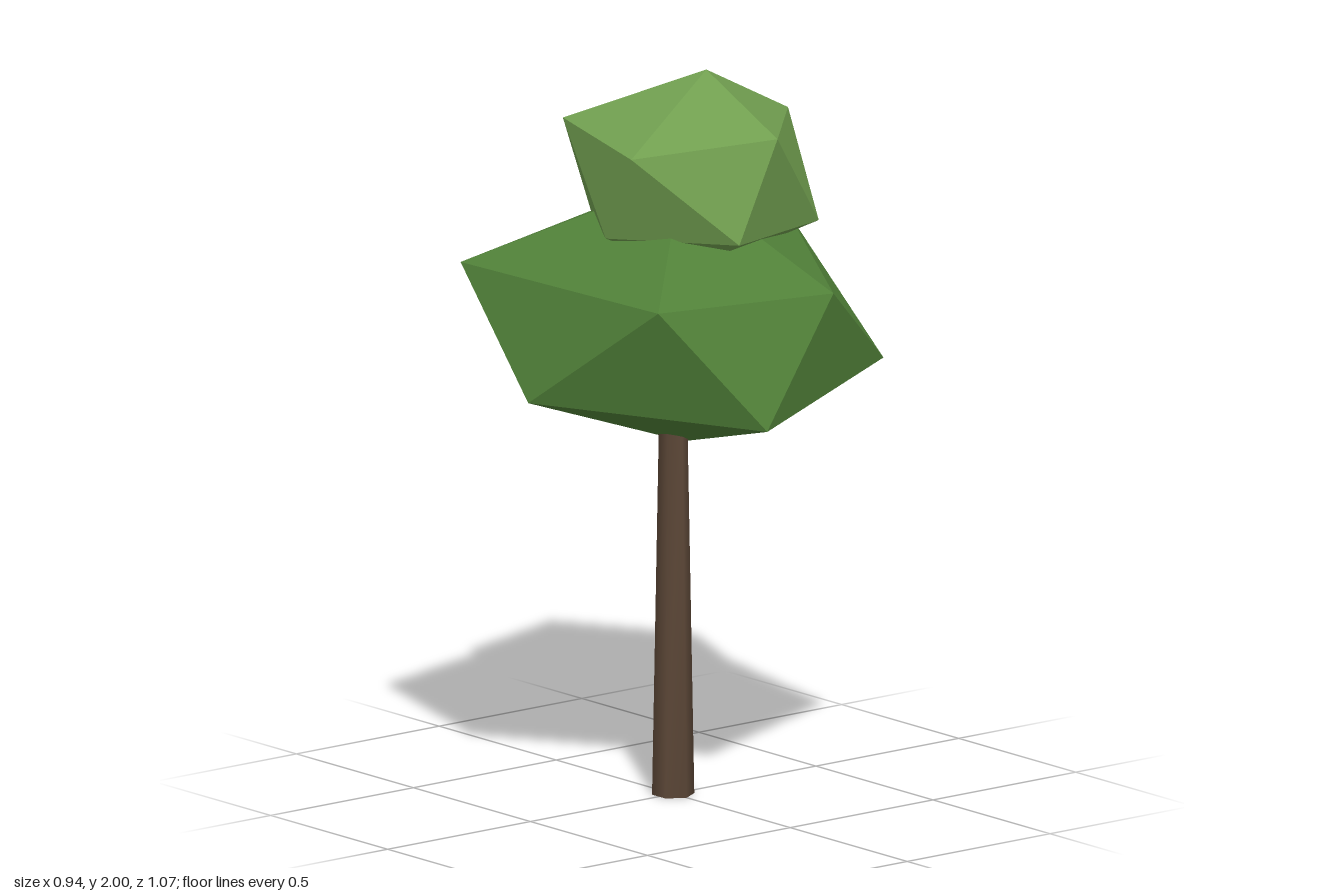
import * as THREE from 'three';
import { mergeVertices } from 'three/addons/utils/BufferGeometryUtils.js';

// Faceted foliage clump: a tip, two staggered rings of five points, and a base point.
function clump(name, material, top, upper, lower, bottom) {
  const pos = [];
  const tri = (...points) => points.forEach((p) => pos.push(...p));
  for (let i = 0; i < 5; i++) {
    const j = (i + 1) % 5;
    tri(top, upper[i], upper[j]);
    tri(upper[i], lower[i], upper[j]);
    tri(upper[j], lower[i], lower[j]);
    tri(bottom, lower[j], lower[i]);
  }
  const geometry = new THREE.BufferGeometry();
  geometry.setAttribute('position', new THREE.Float32BufferAttribute(pos, 3));
  geometry.computeVertexNormals();
  const mesh = new THREE.Mesh(geometry, material);
  mesh.name = name;
  return mesh;
}

export function createModel() {
  const bark = new THREE.MeshStandardMaterial({ color: 0x5c4737 });
  bark.name = 'bark brown';
  const darkLeaf = new THREE.MeshStandardMaterial({ color: 0x508038 });
  darkLeaf.name = 'dark leaf green';
  const lightLeaf = new THREE.MeshStandardMaterial({ color: 0x709e4f });
  lightLeaf.name = 'light leaf green';

  const tree = new THREE.Group();
  tree.name = 'tree';

  // Tapered six-sided trunk, with normals smoothed across the end caps
  let trunkGeometry = new THREE.CylinderGeometry(0.038, 0.058, 1.1, 6);
  trunkGeometry.deleteAttribute('normal');
  trunkGeometry.deleteAttribute('uv');
  trunkGeometry = mergeVertices(trunkGeometry);
  trunkGeometry.computeVertexNormals();
  const trunk = new THREE.Mesh(trunkGeometry, bark);
  trunk.name = 'trunk';
  trunk.position.y = 0.55;
  tree.add(trunk);

  // Wide lower foliage
  tree.add(clump('lowerCrown', darkLeaf,
    [0.06, 1.7, -0.04],
    [[-0.425, 1.475, -0.39], [-0.335, 1.455, 0.345], [0.18, 1.455, 0.465], [0.47, 1.535, -0.085], [0.14, 1.5, -0.535]],
    [[-0.475, 1.155, -0.04], [-0.105, 1.125, 0.53], [0.47, 1.205, 0.325], [0.425, 1.13, -0.315], [-0.17, 1.155, -0.45]],
    [0.07, 0.965, -0.04]));

  // Small upper foliage, leaning to one side
  tree.add(clump('upperCrown', lightLeaf,
    [0.12, 2, -0.005],
    [[-0.165, 1.86, -0.27], [-0.225, 1.82, 0.095], [0.14, 1.855, 0.275], [0.435, 1.84, -0.04], [0.235, 1.825, -0.415]],
    [[-0.212, 1.575, -0.03], [-0.01, 1.585, 0.295], [0.395, 1.565, 0.14], [0.36, 1.525, -0.28], [-0.04, 1.57, -0.3]],
    [0.09, 1.44, -0.02]));

  return tree;
}
